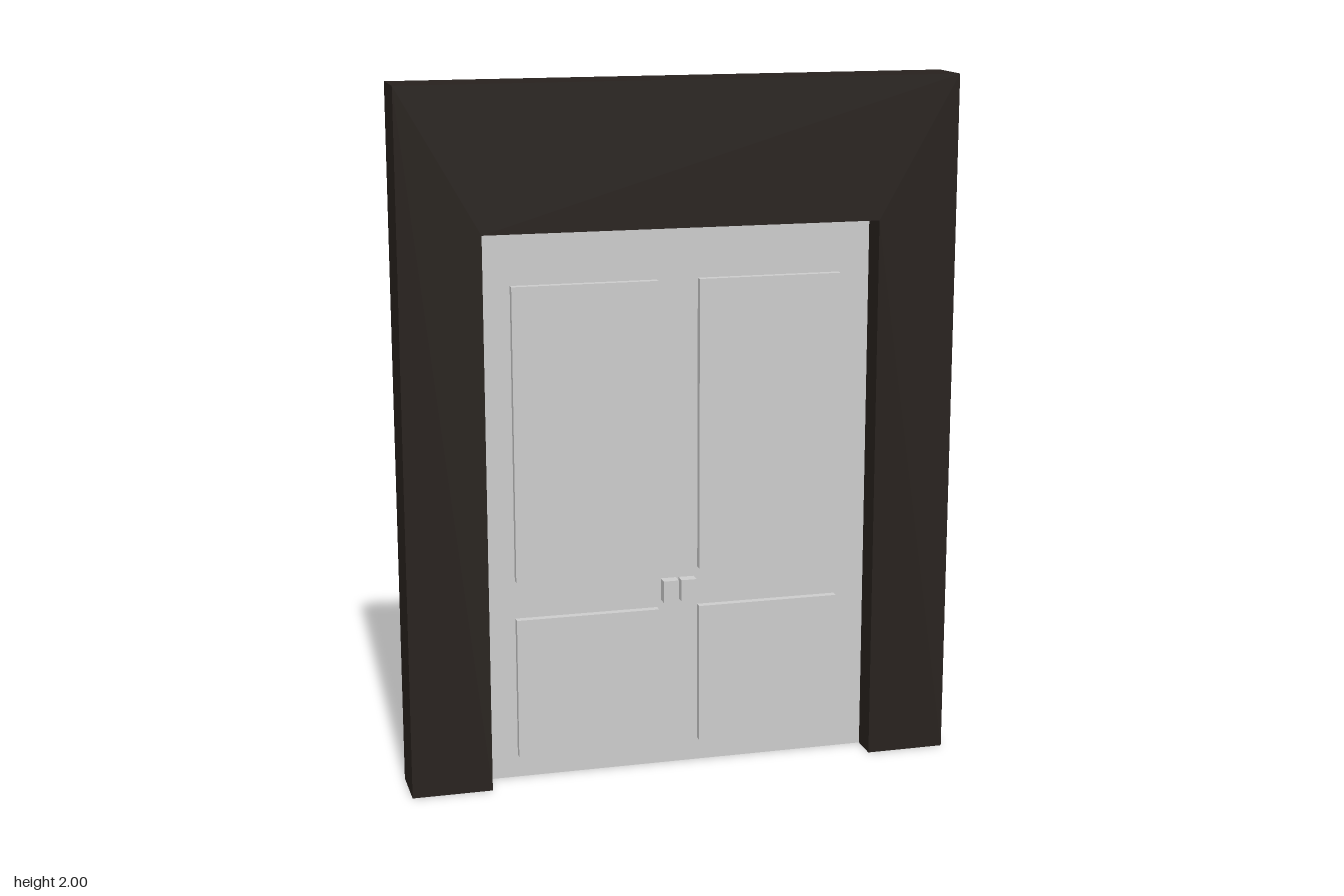
import * as THREE from 'three';

export function createModel() {
  const model = new THREE.Group();
  const wallMat = new THREE.MeshStandardMaterial({ color: 0x27211d });
  const doorMat = new THREE.MeshStandardMaterial({ color: 0xcccccc });

  const W = 0.797, H = 2, Z = 0.077; // half width, height, half depth
  const openW = 0.567, openH = 1.595; // half width and height of the opening
  const doorZ = -0.008; // front face of the door

  const add = (name, geometry, material, parent = model) => {
    const mesh = new THREE.Mesh(geometry, material);
    mesh.name = name;
    parent.add(mesh);
    return mesh;
  };
  // Box from its x and y limits, between two depths
  const box = (name, x0, x1, y0, y1, z0, z1, material, parent) =>
    add(name, new THREE.BoxGeometry(x1 - x0, y1 - y0, z1 - z0), material, parent)
      .position.set((x0 + x1) / 2, (y0 + y1) / 2, (z0 + z1) / 2);

  // Surround: one arch-shaped piece in front of a solid back wall
  const outline = new THREE.Shape([
    [-W, 0], [-openW, 0], [-openW, openH], [openW, openH],
    [openW, 0], [W, 0], [W, H], [-W, H],
  ].map(([x, y]) => new THREE.Vector2(x, y)));
  const backZ = doorZ - 0.003;
  add('doorSurround', new THREE.ExtrudeGeometry(outline, { depth: Z - backZ, bevelEnabled: false }), wallMat)
    .position.z = backZ;
  box('backWall', -W, W, 0, H, -Z, backZ, wallMat);

  // Door face, recessed in the opening
  box('doorFace', -openW, openW, 0, openH, backZ, doorZ, doorMat);

  // Raised panels and a handle on each leaf
  for (const side of [-1, 1]) {
    const leaf = new THREE.Group();
    leaf.name = side > 0 ? 'leftLeaf' : 'rightLeaf';
    model.add(leaf);
    const part = (name, a, b, y0, y1, depth) =>
      box(name, Math.min(side * a, side * b), Math.max(side * a, side * b), y0, y1, doorZ, doorZ + depth, doorMat, leaf);
    part('upperPanel', 0.06, 0.477, 0.593, 1.44, 0.023);
    part('lowerPanel', 0.06, 0.477, 0.068, 0.48, 0.023);
    part('handle', 0.004, 0.049, 0.502, 0.566, 0.034);
  }
  return model;
}
